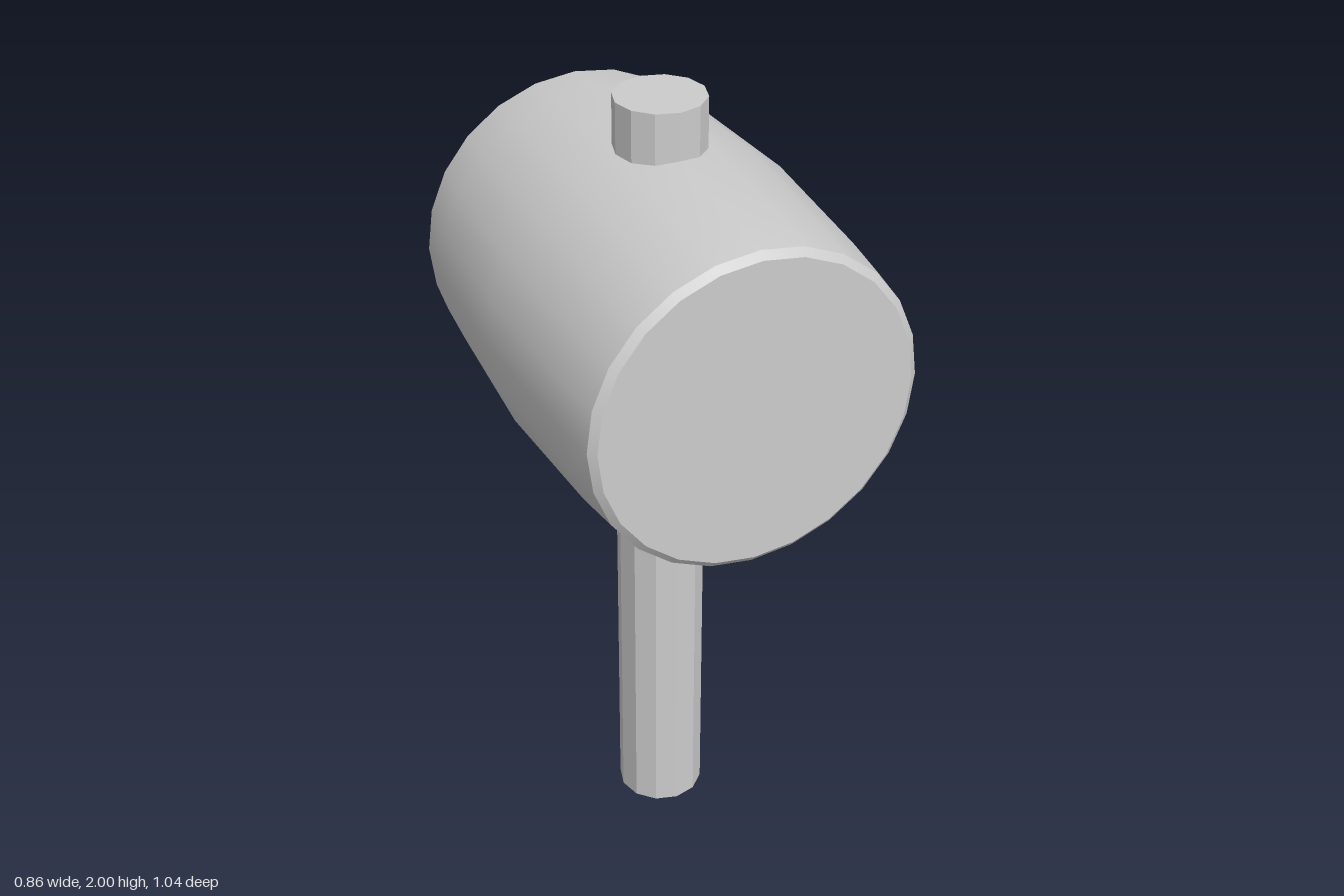
import * as THREE from 'three';

const HEAD_Y = 1.458, HEAD_SIDES = 24;

export function createModel() {
  const group = new THREE.Group();
  const smooth = new THREE.MeshStandardMaterial({ color: 0xcccccc });
  const flat = new THREE.MeshStandardMaterial({ color: 0xcccccc, flatShading: true });

  // Handle: a twelve-sided shaft passing right through the head
  const handle = new THREE.Mesh(new THREE.CylinderGeometry(0.109, 0.109, 2, 12), flat);
  handle.name = 'handle';
  handle.position.y = 1;
  group.add(handle);

  // Head: barrel lying along z, in separate bands so the rims stay sharp
  const head = new THREE.Group();
  head.name = 'head';
  head.position.y = HEAD_Y;
  head.rotation.x = Math.PI / 2;
  group.add(head);

  const band = (name, profile) => {
    const points = profile.map(([r, y]) => new THREE.Vector2(r, y));
    const mesh = new THREE.Mesh(new THREE.LatheGeometry(points, HEAD_SIDES), smooth);
    mesh.name = name;
    head.add(mesh);
  };

  band('barrel', [[0.398, -0.503], [0.412, -0.38], [0.432, 0], [0.412, 0.38], [0.398, 0.503]]);

  // Bevelled rim and flat striking face at each end
  for (const [side, s] of [['front', 1], ['back', -1]]) {
    const rim = [[0.398, s * 0.503], [0.38, s * 0.518]];
    const face = [[0.38, s * 0.518], [0, s * 0.518]];
    band(side + 'Rim', s > 0 ? rim : rim.reverse());
    band(side + 'Face', s > 0 ? face : face.reverse());
  }
  return group;
}
